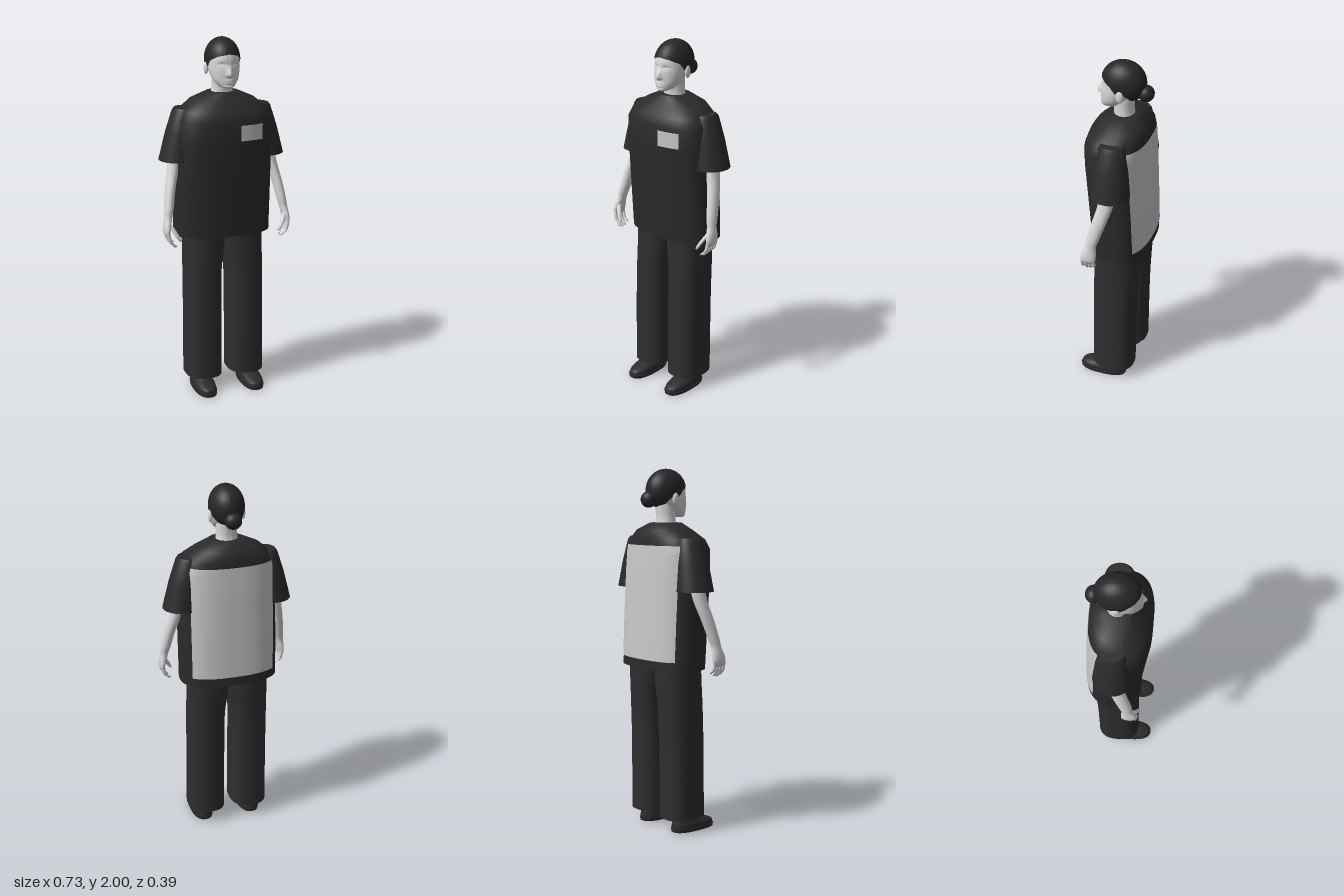
import * as THREE from 'three';
import { toCreasedNormals } from 'three/addons/utils/BufferGeometryUtils.js';

const mat = (name, color) => {
  const m = new THREE.MeshStandardMaterial({ color, side: THREE.DoubleSide });
  m.name = name;
  return m;
};

// Closed ring surface: f(angle, v) -> [x, y, z], angle 0 faces +z, v runs upward
function rings(f, nu, nv, crease = 0.7) {
  const pos = [], idx = [];
  for (let j = 0; j <= nv; j++)
    for (let i = 0; i < nu; i++) pos.push(...f((i / nu) * Math.PI * 2, j / nv));
  for (let j = 0; j < nv; j++)
    for (let i = 0; i < nu; i++) {
      const a = j * nu + i, b = j * nu + ((i + 1) % nu);
      idx.push(a, b, b + nu, a, b + nu, a + nu);
    }
  const g = new THREE.BufferGeometry();
  g.setAttribute('position', new THREE.Float32BufferAttribute(pos, 3));
  g.setIndex(idx);
  return toCreasedNormals(g, crease);
}

const spow = (v, e) => Math.sign(v) * Math.pow(Math.abs(v), e);

// Loft through sections [x, y, z, rx, rz, n], listed bottom to top, with closed ends
function loft(sections, { smooth = 0, nu = 40, crease = 0.7, sculpt } = {}) {
  let rows = sections;
  if (smooth) {
    const spline = (k) => new THREE.CatmullRomCurve3(
      sections.map((s) => new THREE.Vector3(s[k], s[k + 1], s[k + 2] ?? 2)), false, 'catmullrom', 0.5);
    const c = spline(0), r = spline(3), n = (sections.length - 1) * smooth;
    rows = Array.from({ length: n + 1 }, (_, i) =>
      [...c.getPoint(i / n).toArray(), ...r.getPoint(i / n).toArray()]);
  }
  const cap = (s) => [s[0], s[1], s[2], 0.0005, 0.0005, 2];
  rows = [cap(rows[0]), ...rows, cap(rows[rows.length - 1])];
  const nv = rows.length - 1;
  return rings((a, v) => {
    const [x, y, z, rx, rz, n = 2] = rows[Math.round(v * nv)];
    const p = [x + rx * spow(Math.sin(a), 2 / n), y, z + rz * spow(Math.cos(a), 2 / n)];
    return sculpt ? sculpt(p) : p;
  }, nu, nv, crease);
}

// Linear lookup in a table of rows, by the value in column k
function lookup(table, k, t) {
  let i = 0;
  while (i < table.length - 2 && table[i + 1][k] < t) i++;
  const a = table[i], b = table[i + 1];
  const f = THREE.MathUtils.clamp((t - a[k]) / (b[k] - a[k]), 0, 1);
  return a.map((v, j) => v + (b[j] - v) * f);
}

const TORSO = [
  [0, 0.92, -0.038, 0.272, 0.158, 2.6],
  [0, 1.2, -0.023, 0.271, 0.163, 2.6],
  [0, 1.45, -0.008, 0.267, 0.168, 2.6],
  [0, 1.57, -0.004, 0.262, 0.164, 2.6],
  [0, 1.62, -0.0115, 0.24, 0.1545, 2.5],
  [0, 1.67, -0.03, 0.18, 0.122, 2.3],
  [0, 1.71, -0.022, 0.09, 0.083, 2],
];

// Thin plate following the shirt; side is +1 for the chest, -1 for the back
function shirtPlate(x0, x1, y0, y1, side) {
  const g = new THREE.PlaneGeometry(1, 1, 24, 24), p = g.attributes.position;
  for (let i = 0; i < p.count; i++) {
    const x = x0 + (x1 - x0) * (0.5 + side * p.getX(i));
    const y = y0 + (y1 - y0) * (p.getY(i) + 0.5);
    const [, , cz, rx, rz, n] = lookup(TORSO, 1, y);
    const depth = rz * Math.pow(Math.max(0, 1 - Math.pow(Math.abs(x) / rx, n)), 1 / n);
    p.setXYZ(i, x, y, cz + side * (depth + 0.004));
  }
  g.computeVertexNormals();
  return g;
}

const bump = (d, w) => Math.exp(-(d / w) * (d / w));

// Nose, eye sockets, lips and chin pushed out of the front of the head
function sculptFace([x, y, z]) {
  if (z < 0.02) return [x, y, z];
  const { smoothstep } = THREE.MathUtils;
  const nose = (1 - smoothstep(y, 1.815, 1.875)) * smoothstep(y, 1.796, 1.812);
  const ax = Math.abs(x);
  let dz = 0.023 * nose * bump(x, 0.009 + 0.006 * nose);
  dz -= 0.008 * bump(ax - 0.034, 0.019) * bump(y - 1.866, 0.011);
  dz += 0.003 * bump(ax - 0.034, 0.013) * bump(y - 1.861, 0.006);
  dz += 0.006 * bump(x, 0.024) * (bump(y - 1.784, 0.005) + bump(y - 1.77, 0.005));
  dz += 0.005 * bump(x, 0.025) * bump(y - 1.75, 0.008);
  return [x, y, z + dz];
}

// Hairline height by angle from the front
const HAIRLINE = [[0, 1.92], [0.6, 1.91], [1.15, 1.885], [1.4, 1.85], [1.75, 1.85], [2.2, 1.81], [3.15, 1.795]];

function hairCap() {
  return rings((a, v) => {
    const line = lookup(HAIRLINE, 0, Math.min(a, Math.PI * 2 - a))[1];
    const end = Math.acos((line - 1.885) / 0.115);
    const polar = end * Math.min(1, (1 - v) * 1.04);
    const k = v === 0 ? 0.86 : 1; // bottom edge tucks into the head
    const s = Math.sin(polar) * k;
    return [0.094 * s * Math.sin(a), 1.885 + 0.115 * Math.cos(polar), -0.02 + 0.12 * s * Math.cos(a)];
  }, 72, 30, 0.9);
}

export function createModel() {
  const skin = mat('skin', 0xd8d8d8);
  const cloth = mat('shirt cloth', 0x2a2a2a);
  const trouser = mat('trouser cloth', 0x2e2e2e);
  const hair = mat('hair', 0x262626);
  const leather = mat('shoe leather', 0x2b2b2b);
  const print = mat('pale print', 0xc8c8c8);

  const model = new THREE.Group();
  model.name = 'standingFigure';
  const add = (name, geometry, material) => {
    const m = new THREE.Mesh(geometry, material);
    m.name = name;
    model.add(m);
    return m;
  };
  const ball = (name, material, p, s) => {
    const m = add(name, new THREE.SphereGeometry(1, 32, 20), material);
    m.position.set(...p);
    m.scale.set(...s);
  };

  // Shirt
  add('shirt', loft(TORSO, { nu: 72, crease: 0.6 }), cloth);
  add('chestPatch', shirtPlate(0.045, 0.175, 1.465, 1.55, 1), print);
  add('backPanel', shirtPlate(-0.23, 0.23, 0.97, 1.59, -1), print);

  // Head, neck and hair
  add('neck', loft([
    [0, 1.67, -0.028, 0.068, 0.06], [0, 1.73, -0.022, 0.057, 0.053], [0, 1.81, -0.02, 0.056, 0.06],
  ], { smooth: 5 }), skin);
  add('head', loft([
    [0, 1.74, 0.07, 0.022, 0.025], [0, 1.75, 0.05, 0.043, 0.05], [0, 1.78, 0.03, 0.068, 0.07],
    [0, 1.82, 0.012, 0.081, 0.088], [0, 1.86, -0.002, 0.086, 0.1], [0, 1.9, -0.011, 0.086, 0.105],
    [0, 1.94, -0.016, 0.077, 0.094], [0, 1.975, -0.02, 0.05, 0.06],
  ], { smooth: 12, nu: 128, crease: 1, sculpt: sculptFace }), skin);
  add('hair', hairCap(), hair);
  ball('hairBun', hair, [0, 1.835, -0.14], [0.046, 0.044, 0.042]);

  for (const s of [1, -1]) {
    const side = s > 0 ? 'left' : 'right';
    const part = (name, sections, material, options) =>
      add(side + name, loft(sections.map(([x, ...r]) => [x * s, ...r]), options), material);

    ball(side + 'Ear', skin, [0.09 * s, 1.838, -0.025], [0.011, 0.034, 0.02]);

    // Sleeve, arm and hand
    part('Sleeve', [
      [0.255, 1.35, -0.03, 0.102, 0.105], [0.236, 1.5, -0.03, 0.082, 0.09],
      [0.218, 1.615, -0.03, 0.062, 0.073], [0.215, 1.632, -0.03, 0.054, 0.062],
    ], cloth);
    part('Arm', [
      [0.347, 0.945, 0.068, 0.006, 0.026], [0.35, 0.965, 0.066, 0.015, 0.041],
      [0.346, 1.0, 0.063, 0.02, 0.042], [0.337, 1.05, 0.054, 0.022, 0.031],
      [0.328, 1.1, 0.042, 0.026, 0.035], [0.31, 1.2, 0.013, 0.028, 0.039],
      [0.285, 1.3, -0.015, 0.032, 0.042], [0.26, 1.42, -0.03, 0.036, 0.045],
    ], skin, { smooth: 5, nu: 28, crease: 1 });
    for (let k = 0; k < 4; k++) {
      const z = 0.035 + 0.021 * k, drop = [0.018, 0.004, 0, 0.008][k];
      part('Finger' + (k + 1), [
        [0.308, 0.885 + drop, z + 0.008, 0.004, 0.004], [0.313, 0.892 + drop, z + 0.007, 0.008, 0.008],
        [0.338, 0.925, z + 0.003, 0.01, 0.009], [0.35, 0.975, z, 0.01, 0.01],
      ], skin, { smooth: 4, nu: 12, crease: 1 });
    }
    part('Thumb', [
      [0.286, 0.925, 0.117, 0.004, 0.004], [0.289, 0.932, 0.116, 0.009, 0.008],
      [0.308, 0.965, 0.108, 0.012, 0.01], [0.335, 1.015, 0.08, 0.012, 0.013],
    ], skin, { smooth: 4, nu: 12, crease: 1 });

    // Wide trouser leg, meeting its twin at the crotch
    part('TrouserLeg', [
      [0.126, 0.08, -0.008, 0.104, 0.122, 2.6], [0.124, 0.5, -0.012, 0.103, 0.122, 2.6],
      [0.122, 0.7, -0.018, 0.104, 0.124, 2.5], [0.112, 0.85, -0.025, 0.114, 0.127, 2.4],
      [0.11, 0.97, -0.028, 0.115, 0.126, 2.4],
    ], trouser, { smooth: 4, nu: 48 });

    // Shoe
    part('ShoeSole', [
      [0.142, 0, 0.055, 0.06, 0.137, 2.5], [0.142, 0.018, 0.055, 0.063, 0.14, 2.5],
    ], leather, { nu: 48 });
    part('ShoeUpper', [
      [0.142, 0.016, 0.054, 0.059, 0.136, 2.5], [0.142, 0.04, 0.051, 0.058, 0.132, 2.4],
      [0.141, 0.058, 0.03, 0.052, 0.108, 2.3], [0.14, 0.075, 0.006, 0.046, 0.082, 2.2],
      [0.138, 0.13, -0.02, 0.042, 0.056, 2],
    ], leather, { smooth: 4, nu: 48 });
  }
  return model;
}
